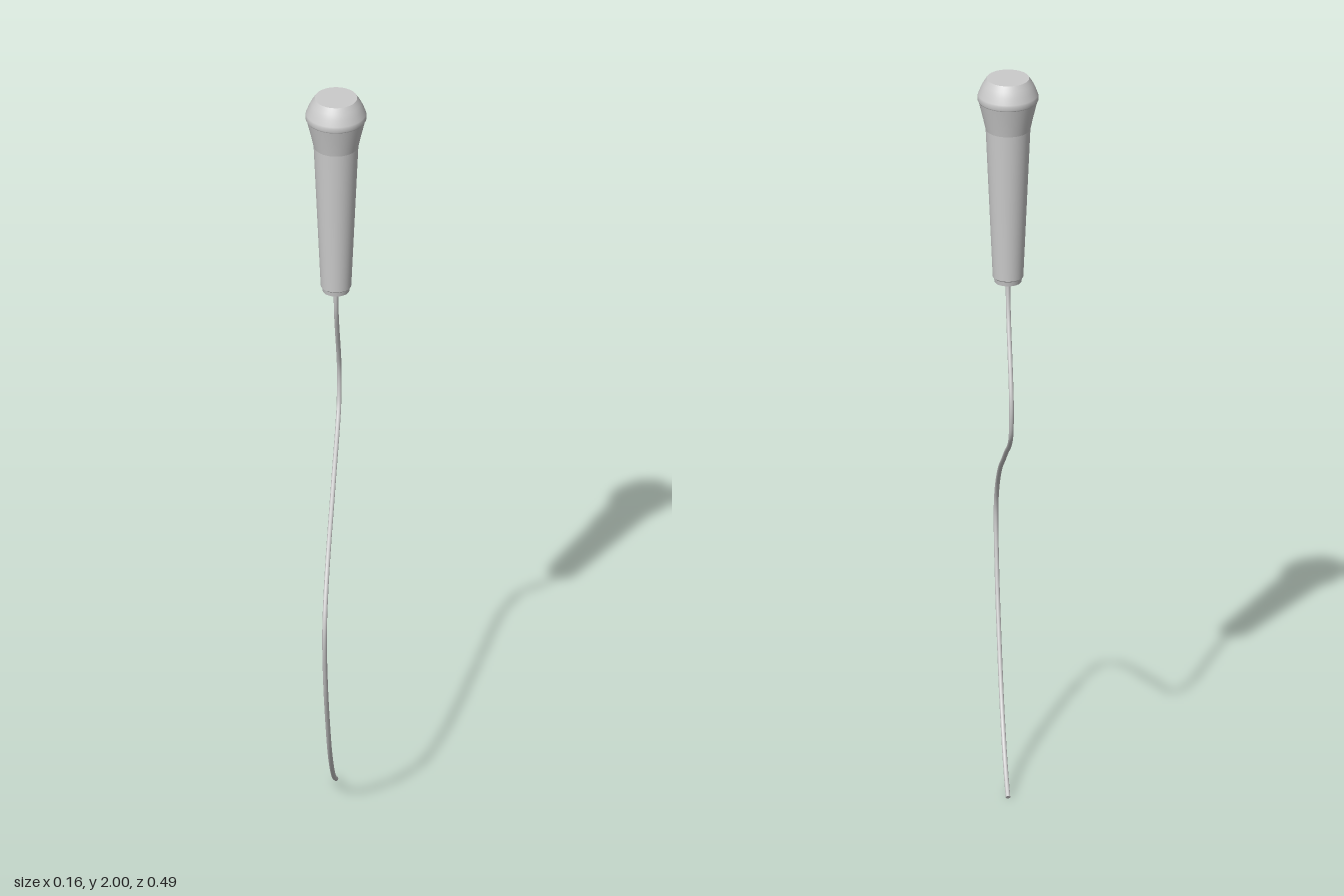
import * as THREE from 'three';

const AXIS_Z = -0.13; // the microphone stands behind the centre
const CABLE_R = 0.006;

const material = new THREE.MeshStandardMaterial({ color: 0xcccccc, side: THREE.DoubleSide });

// Turned part from [radius, height] pairs, bottom to top
function turned(name, profile) {
  const points = profile.map(([r, y]) => new THREE.Vector2(r, y));
  const mesh = new THREE.Mesh(new THREE.LatheGeometry(points, 48), material);
  mesh.name = name;
  return mesh;
}

export function createModel() {
  const model = new THREE.Group();
  model.name = 'wiredMicrophone';

  const body = new THREE.Group();
  body.name = 'microphoneBody';
  body.position.z = AXIS_Z;
  body.add(
    turned('cableSocketBase', [[0, 1.437], [0.034, 1.437]]),
    turned('cableSocket', [[0.034, 1.437], [0.036, 1.449]]),
    turned('handleBase', [[0.036, 1.449], [0.039, 1.452]]),
    turned('handle', [[0.039, 1.452], [0.057, 1.86]]),
    turned('collar', [[0.057, 1.86], [0.0635, 1.89], [0.075, 1.938]]),
    turned('grilleRing', [[0.075, 1.938], [0.0775, 1.942], [0.0775, 1.952], [0.076, 1.956]]),
    turned('grille', [[0.076, 1.956], [0.07, 1.972], [0.063, 1.986], [0.054, 2]]),
    turned('grilleTop', [[0.054, 2], [0, 2]].reverse().map(([r, y]) => [r, y])),
  );
  // The top disc must face upwards: profile runs from rim to centre
  const top = body.getObjectByName('grilleTop');
  top.geometry.dispose();
  top.geometry = new THREE.CircleGeometry(0.054, 48).rotateX(-Math.PI / 2).translate(0, 2, 0);
  model.add(body);

  // Cable hanging in an S in the plane x = 0, as [z, y]
  const path = [
    [-0.13, 1.46], [-0.13, 1.42], [-0.142, 1.36], [-0.172, 1.291], [-0.21, 1.215],
    [-0.234, 1.15], [-0.236, 1.1], [-0.22, 1.045], [-0.178, 1.004], [-0.08, 0.942],
    [0.0, 0.888], [0.113, 0.812], [0.192, 0.735], [0.23, 0.67], [0.237, 0.61],
    [0.202, 0.468], [0.139, 0.326], [0.064, 0.192], [-0.02, 0.09], [-0.078, 0.04], [-0.13, 0.006],
  ];
  const curve = new THREE.CatmullRomCurve3(path.map(([z, y]) => new THREE.Vector3(0, y, z)));
  const cable = new THREE.Mesh(new THREE.TubeGeometry(curve, 120, CABLE_R, 10), material);
  cable.name = 'cable';
  model.add(cable);

  // Flat cap on the loose cable end
  const cap = new THREE.Mesh(new THREE.CircleGeometry(CABLE_R, 10), material);
  cap.name = 'cableEnd';
  cap.position.copy(curve.getPoint(1));
  cap.lookAt(curve.getPoint(1).add(curve.getTangent(1)));
  model.add(cap);

  return model;
}
